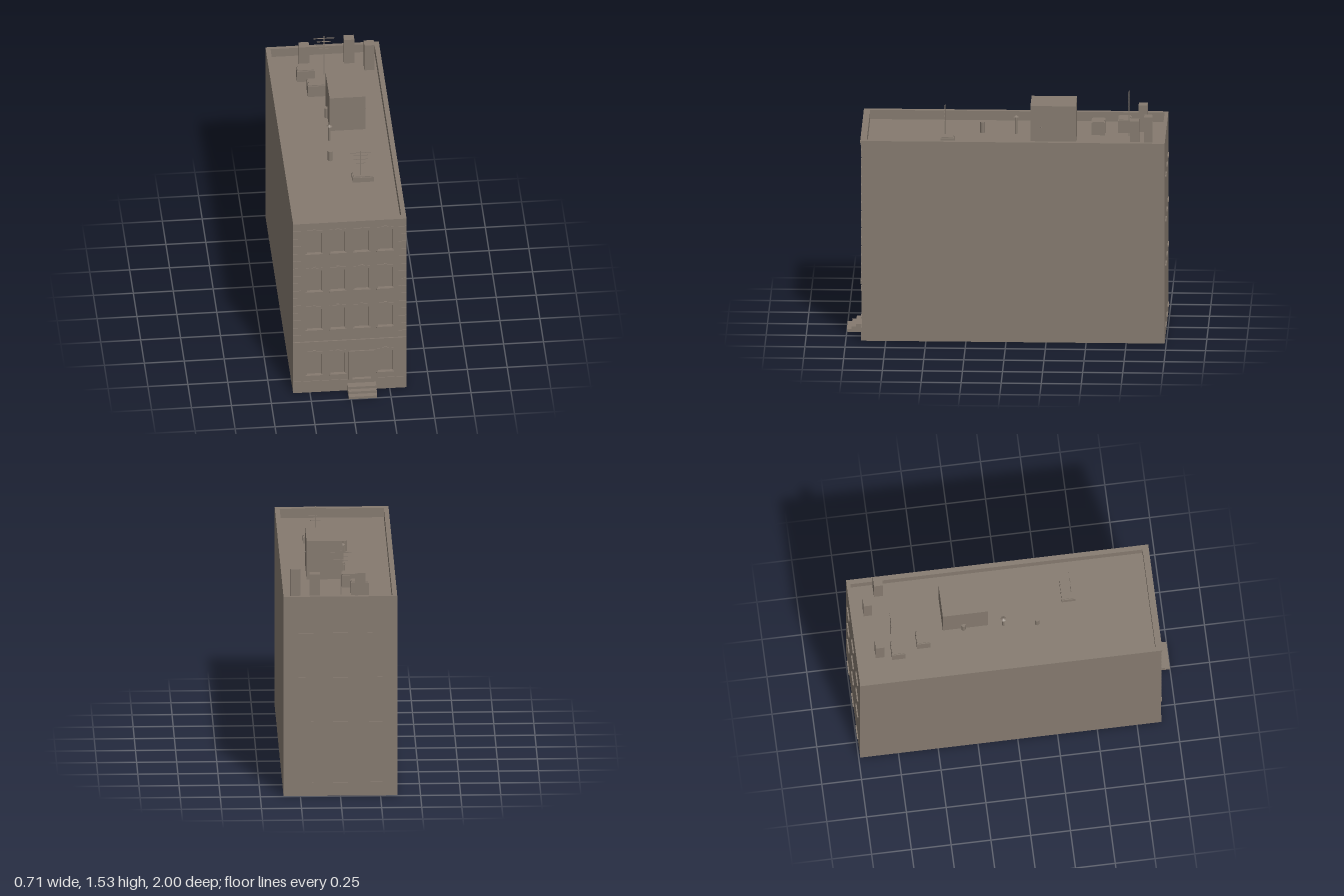
import * as THREE from 'three';

const stone = new THREE.MeshStandardMaterial({ color: 0x857a6f, side: THREE.DoubleSide });
stone.name = 'stone';

const W = 0.355, FRONT = 0.9, BACK = -0.99, TOP = 1.3, ROOF = 1.24;

function add(parent, name, geometry, x = 0, y = 0, z = 0) {
  const mesh = new THREE.Mesh(geometry, stone);
  mesh.name = name;
  mesh.position.set(x, y, z);
  parent.add(mesh);
  return mesh;
}

// Box given by its extents
function box(parent, name, x0, x1, y0, y1, z0, z1) {
  return add(parent, name, new THREE.BoxGeometry(x1 - x0, y1 - y0, z1 - z0),
    (x0 + x1) / 2, (y0 + y1) / 2, (z0 + z1) / 2);
}

function rectPoints(x0, x1, y0, y1) {
  return [[x0, y0], [x1, y0], [x1, y1], [x0, y1]].map(([x, y]) => new THREE.Vector2(x, y));
}

// Rectangular slab with rectangular holes
function slab(outer, holes, depth) {
  const shape = new THREE.Shape(rectPoints(...outer));
  for (const h of holes) shape.holes.push(new THREE.Path(rectPoints(...h).reverse()));
  return new THREE.ExtrudeGeometry(shape, { depth, bevelEnabled: false });
}

function pipe(parent, name, x, z, r, top) {
  add(parent, name, new THREE.CylinderGeometry(r, r, top - ROOF, 12), x, (top + ROOF) / 2, z);
}

function antenna(parent, x, z, top, bars) {
  const g = new THREE.Group();
  g.name = 'antenna';
  parent.add(g);
  box(g, 'mast', x - 0.003, x + 0.003, ROOF, top, z - 0.003, z + 0.003);
  for (const [y, half] of bars) {
    box(g, 'antennaBar', x - half, x + half, y - 0.002, y + 0.002, z - 0.002, z + 0.002);
  }
}

export function createModel() {
  const model = new THREE.Group();
  model.name = 'townhouse';

  // Open-bottomed shell: side and back walls, roof, parapet
  for (const s of [-1, 1]) {
    const wall = add(model, 'sideWall', new THREE.PlaneGeometry(FRONT - BACK, ROOF),
      s * W, ROOF / 2, (FRONT + BACK) / 2);
    wall.rotation.y = s * Math.PI / 2;
  }
  add(model, 'backWall', new THREE.PlaneGeometry(2 * W, ROOF), 0, ROOF / 2, BACK).rotation.y = Math.PI;
  add(model, 'roof', new THREE.PlaneGeometry(2 * W, FRONT - BACK), 0, ROOF, (FRONT + BACK) / 2)
    .rotation.x = -Math.PI / 2;
  add(model, 'parapet', slab([-W, W, -FRONT, -BACK], [[-0.325, 0.325, -0.87, 0.967]], TOP - ROOF),
    0, ROOF, 0).rotation.x = -Math.PI / 2;

  // Front wall with window and door openings
  const columns = [-0.2225, -0.075, 0.075, 0.2225];
  const rows = [0.13, 0.477, 0.77, 1.06];
  const windows = [];
  rows.forEach((y, r) => columns.forEach((x, c) => {
    if (r > 0 || c !== 2) windows.push([x, y]);
  }));
  const holes = windows.map(([x, y]) => [x - 0.045, x + 0.045, y, y + 0.16]);
  const door = [0.016, 0.133, 0.085, 0.267];
  add(model, 'frontWall', slab([-W, W, 0, ROOF], [...holes, door], 0.018), 0, 0, FRONT - 0.018);

  // Windows: pane, sash bar, sill, lintel and keystone
  for (const [x, y] of windows) {
    const g = new THREE.Group();
    g.name = 'window';
    g.position.set(x, y, FRONT);
    model.add(g);
    add(g, 'pane', new THREE.PlaneGeometry(0.09, 0.16), 0, 0.08, -0.016);
    box(g, 'sill', -0.054, 0.054, -0.008, 0, -0.005, 0.008);
    box(g, 'lintel', -0.052, 0.052, 0.16, 0.18, -0.004, 0.004);
    box(g, 'keystone', -0.009, 0.009, 0.156, 0.19, -0.004, 0.008);
  }

  // Doorway and steps
  box(model, 'door', ...door, FRONT - 0.017, FRONT - 0.013);
  add(model, 'doorSurround', slab([-0.01, 0.16, 0.085, 0.3], [door], 0.008), 0, 0, FRONT);
  [[0.052, 0.943], [0.035, 0.97], [0.017, 1]].forEach(([h, z], i, all) =>
    box(model, 'step', -0.015, 0.163, 0, h, i ? all[i - 1][1] : FRONT, z));

  // Plinth, string course and cornice
  box(model, 'plinth', -W, -0.015, 0, 0.085, FRONT, FRONT + 0.004);
  box(model, 'plinth', 0.163, W, 0, 0.085, FRONT, FRONT + 0.004);
  box(model, 'stringCourse', -W, W, 0.37, 0.388, FRONT, FRONT + 0.008);
  box(model, 'corniceLower', -W, W, 1.25, 1.273, FRONT, FRONT + 0.004);
  box(model, 'corniceMiddle', -W, W, 1.273, 1.287, FRONT, FRONT + 0.007);
  box(model, 'corniceUpper', -W, W, 1.287, TOP, FRONT, FRONT + 0.01);

  // Corner quoins, alternating long and short
  for (const s of [-1, 1]) {
    for (let i = 0; i < 15; i++) {
      const w = i % 2 ? 0.03 : 0.05, y = 0.395 + i * 0.057;
      const inner = s * (W - w), outer = s * W;
      box(model, 'quoin', Math.min(inner, outer), Math.max(inner, outer), y, y + 0.045, FRONT, FRONT + 0.005);
    }
  }

  // Rear sills
  for (const y of [0.085, 0.48, 0.77, 1.06]) {
    for (const x of [-0.215, 0, 0.215]) {
      box(model, 'rearSill', x - 0.046, x + 0.046, y - 0.004, y + 0.004, BACK - 0.008, BACK);
    }
  }

  // Stair house with door knob
  box(model, 'stairHouse', -0.03, 0.195, ROOF, 1.49, -0.43, -0.147);
  add(model, 'doorKnob', new THREE.SphereGeometry(0.005, 8, 6), 0.198, 1.352, -0.213);

  // Chimneys
  box(model, 'chimney', -0.16, -0.096, ROOF, 1.413, -0.868, -0.812);
  box(model, 'chimney', 0.125, 0.19, ROOF, 1.42, -0.908, -0.856);
  box(model, 'chimney', 0.245, 0.308, ROOF, 1.43, -0.828, -0.772);

  // Roof hatches: curb with a slightly smaller lid
  for (const [x0, x1, z0, z1, top] of [
    [-0.185, -0.072, -0.768, -0.685, 1.325],
    [-0.132, -0.02, -0.605, -0.52, 1.325],
    [0.062, 0.195, 0.33, 0.415, 1.28],
  ]) {
    box(model, 'hatchCurb', x0, x1, ROOF, top - 0.006, z0, z1);
    box(model, 'hatchLid', x0 + 0.006, x1 - 0.006, top - 0.006, top, z0 + 0.006, z1 - 0.006);
  }

  // Vent pipes
  pipe(model, 'ventPipe', -0.055, 0.16, 0.015, 1.31);
  pipe(model, 'ventPipe', -0.035, -0.3, 0.014, 1.31);
  pipe(model, 'cappedVent', -0.04, -0.05, 0.008, 1.35);
  add(model, 'ventCap', new THREE.ConeGeometry(0.018, 0.012, 12), -0.04, 1.354, -0.05);

  // Antennas
  antenna(model, 0.115, 0.39, 1.465, [[1.45, 0.066], [1.43, 0.045], [1.4, 0.045], [1.37, 0.03]]);
  antenna(model, -0.01, -0.755, 1.53, [[1.515, 0.066], [1.49, 0.045], [1.465, 0.045], [1.435, 0.03]]);

  return model;
}
